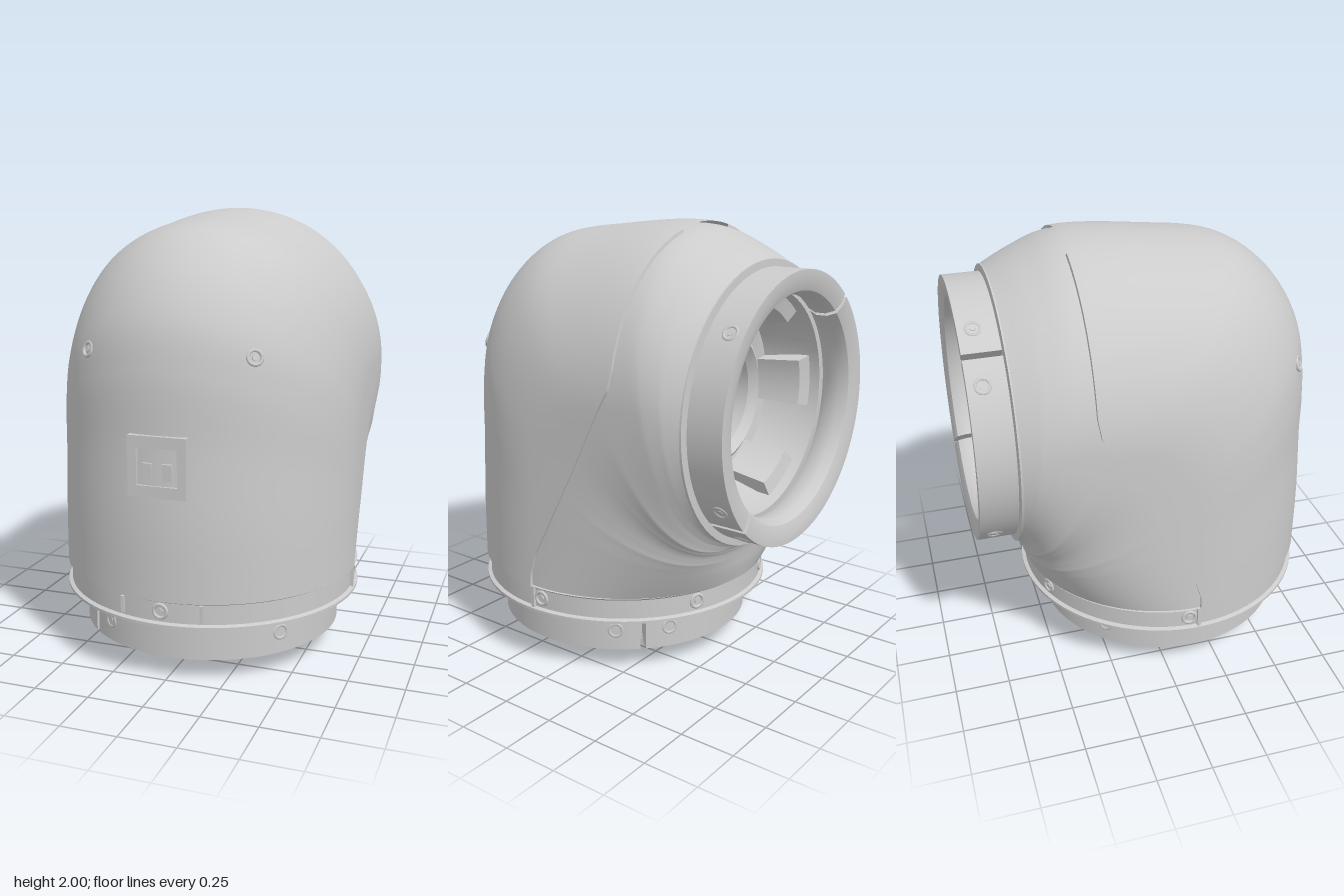
import * as THREE from 'three';
import { mergeVertices, toCreasedNormals } from 'three/addons/utils/BufferGeometryUtils.js';

const mat = new THREE.MeshStandardMaterial({ color: 0xcccccc, side: THREE.DoubleSide });
const rad = THREE.MathUtils.degToRad;
const V2 = (p) => p.map(([a, b]) => new THREE.Vector2(a, b));

function add(parent, name, geo, x = 0, y = 0, z = 0) {
  const m = new THREE.Mesh(geo, mat);
  m.name = name;
  m.position.set(x, y, z);
  parent.add(m);
  return m;
}

const turned = (pts, seg = 72, start = 0, len = Math.PI * 2) =>
  toCreasedNormals(new THREE.LatheGeometry(V2(pts), seg, start, len), 0.6);

// Smooth surface from a point function p(u, v), with u and v in 0..1
function surface(p, nu, nv) {
  const pos = [], idx = [], n = nv + 1;
  for (let i = 0; i <= nu; i++) for (let j = 0; j <= nv; j++) pos.push(...p(i / nu, j / nv));
  for (let i = 0; i < nu; i++) for (let j = 0; j < nv; j++) {
    const a = i * n + j;
    idx.push(a, a + 1, a + n, a + 1, a + n + 1, a + n);
  }
  let g = new THREE.BufferGeometry();
  g.setAttribute('position', new THREE.Float32BufferAttribute(pos, 3));
  g.setIndex(idx);
  g = mergeVertices(g, 1e-5);
  g.computeVertexNormals();
  return g;
}

// Elbow sections fanning from the base to the neck:
// outer z, outer y, inner z, inner y, half width, fullness of the inner half (2 is an ellipse)
const sections = [
  [0.806, 0.39, -0.565, 0.39, 0.678, 2], [0.806, 0.7, -0.585, 0.46, 0.678, 2.35],
  [0.79, 1.05, -0.595, 0.51, 0.678, 2.7], [0.78, 1.35, -0.6, 0.535, 0.678, 2.95],
  [0.735, 1.56, -0.605, 0.555, 0.678, 3], [0.605, 1.762, -0.61, 0.57, 0.678, 3],
  [0.41, 1.9, -0.615, 0.58, 0.678, 3], [0.1, 1.957, -0.62, 0.59, 0.678, 2.9],
  [-0.33, 1.984, -0.63, 0.595, 0.676, 2.3], [-0.5, 1.925, -0.64, 0.6, 0.66, 2.1],
  [-0.65, 1.85, -0.65, 0.6, 0.628, 2],
];
const curve = (f) => new THREE.CatmullRomCurve3(sections.map((s) => new THREE.Vector3(...f(s))), false, 'centripetal');
const outerC = curve((s) => [0, s[1], s[0]]);
const innerC = curve((s) => [0, s[3], s[2]]);

function section(u) {
  const o = outerC.getPoint(u), i = innerC.getPoint(u);
  const k = Math.min(u * 10, 9.9999), n = Math.floor(k);
  const mix = (col) => THREE.MathUtils.lerp(sections[n][col], sections[n + 1][col], k - n);
  return {
    c: o.clone().add(i).multiplyScalar(0.5),
    h: o.clone().sub(i).multiplyScalar(0.5),
    w: mix(4),
    full: mix(5),
  };
}
function onElbow(u, angle, scale = 1) {
  const { c, h, w, full } = section(u);
  const co = Math.cos(angle), si = Math.sin(angle);
  const power = co < 0 ? 2 / full : 1;
  const t = Math.sign(co) * Math.abs(co) ** power * scale;
  return [w * scale * Math.sign(si) * Math.abs(si) ** power, c.y + h.y * t, c.z + h.z * t];
}

// Seam of the front cover as (z, y)
const seam = [[0.13, 0], [0.13, 0.45], [0.1, 0.55], [-0.27, 1.27], [-0.32, 1.36], [-0.335, 1.45], [-0.335, 2.1]];
function seamZ(y) {
  const i = Math.max(1, seam.findIndex((s) => s[1] >= y));
  const [a, b] = [seam[i - 1], seam[i]];
  return THREE.MathUtils.mapLinear(y, a[1], b[1], a[0], b[0]);
}
function seamAngle(u) {
  const { c, h, full } = section(u);
  let lo = -1, hi = 1;
  for (let i = 0; i < 30; i++) {
    const t = (lo + hi) / 2;
    if (c.z + h.z * t > seamZ(c.y + h.y * t)) hi = t; else lo = t;
  }
  return Math.acos(hi < 0 ? -((-hi) ** (full / 2)) : hi);
}

// Round screw with a hexagonal head, facing along its own +z
function screw(parent, pos, dir) {
  const s = new THREE.Group();
  s.name = 'screw';
  add(s, 'screwRim', new THREE.TorusGeometry(0.03, 0.008, 8, 20));
  add(s, 'screwHead', new THREE.CylinderGeometry(0.014, 0.014, 0.012, 6).rotateX(Math.PI / 2));
  s.position.set(...pos);
  s.quaternion.setFromUnitVectors(new THREE.Vector3(0, 0, 1), new THREE.Vector3(...dir).normalize());
  parent.add(s);
}

// Split clamp ring about the y axis, in two halves with screws
function clampRing(name, height) {
  const g = new THREE.Group();
  g.name = name;
  const e = 0.04, ri = 0.49, R = 0.6;
  const profile = [[R, 0], [R, height], [ri + e * 1.6, height], [ri + e * 0.5, height - e * 0.4], [ri, height - e * 1.4],
    [ri, e * 1.4], [ri + e * 0.5, e * 0.4], [ri + e * 1.6, 0], [R, 0]];
  const cap = new THREE.ShapeGeometry(new THREE.Shape(V2(profile)));
  for (const [from, to] of [[-42, 136], [136, 318]]) {
    const a = rad(from) + 0.02, b = rad(to) - 0.02;
    add(g, 'clampHalf', turned(profile, 48, a, b - a));
    for (const phi of [a, b]) add(g, 'clampEnd', cap).rotation.y = phi - Math.PI / 2;
  }
  for (const deg of [120, 144, -58, -34, 41, -139]) {
    const c = Math.cos(rad(deg)), s = Math.sin(rad(deg));
    screw(g, [c * (R - 0.004), height * 0.6, s * (R - 0.004)], [c, 0, s]);
  }
  return g;
}

export function createModel() {
  const root = new THREE.Group();
  root.name = 'elbowJoint';

  // Elbow housing and the raised front cover with its edge
  add(root, 'housing', surface((u, v) => onElbow(u, (v * 2 - 1) * Math.PI), 80, 120));
  const coverU = (u) => 0.8 * (1 - (1 - u) ** 2);
  add(root, 'frontCover', surface((u, v) => onElbow(coverU(u), (v * 2 - 1) * seamAngle(coverU(u)), 1.02), 140, 80));
  for (const s of [-1, 1]) {
    add(root, 'coverEdge', surface((u, v) => onElbow(coverU(u), s * seamAngle(coverU(u)), 1.02 - 0.025 * v), 140, 1));
  }

  // Base band with a lip
  add(root, 'baseBand', turned([[0, 0.255], [0.5, 0.255], [0.5, 0.275], [0.693, 0.275], [0.693, 0.287], [0.675, 0.293],
    [0.675, 0.38], [0.69, 0.392], [0.6, 0.4]], 96), 0, 0, 0.125);
  for (const x of [-0.18, 0.18]) add(root, 'bandRib', new THREE.BoxGeometry(0.014, 0.075, 0.03), x, 0.342, 0.775);
  screw(root, [0, 0.34, 0.8], [0, 0, 1]);
  for (const s of [-1, 1]) {
    add(root, 'bandEnd', new THREE.BoxGeometry(0.025, 0.105, 0.016), s * 0.675, 0.34, 0.125);
    screw(root, [s * 0.674, 0.34, 0.08], [s, 0, -0.05]);
    screw(root, [s * 0.27, 0.34, -0.494], [s * 0.4, 0, -0.917]);
  }

  // Lower clamp, scalloped plate and hub
  const lower = clampRing('lowerClamp', 0.16);
  lower.position.set(0, 0.1, 0.13);
  root.add(lower);
  const outline = [];
  for (let i = 0; i < 144; i++) {
    const a = (i / 144) * Math.PI * 2;
    const r = 0.405 - 0.025 * THREE.MathUtils.smoothstep(Math.cos(a * 10), -0.2, 0.6);
    outline.push(new THREE.Vector2(Math.cos(a) * r, Math.sin(a) * r));
  }
  const plate = new THREE.ExtrudeGeometry(new THREE.Shape(outline), { depth: 0.21, bevelEnabled: false });
  add(root, 'scallopedPlate', toCreasedNormals(plate.rotateX(-Math.PI / 2), 0.5), 0, 0.05, 0.125);
  add(root, 'lowerFloor', new THREE.CylinderGeometry(0.5, 0.5, 0.1, 64), 0, 0.2, 0.13);
  add(root, 'hub', turned([[0, 0.04], [0.04, 0.04], [0.04, 0], [0.195, 0], [0.2, 0.005], [0.2, 0.06]], 48), 0, 0, 0.125);

  // Rear port: hollow neck lining, stepped inner ledges and clamp, with local +y pointing backwards
  const port = new THREE.Group();
  port.name = 'rearPort';
  port.position.set(0, 1.222, -0.65);
  port.rotation.x = -Math.PI / 2;
  root.add(port);
  add(port, 'neckLining', turned([[0.615, -0.02], [0.632, -0.012], [0.632, 0], [0.5, 0.008], [0.49, -0.1], [0.44, -0.25],
    [0.33, -0.28], [0.32, -0.22], [0.29, -0.2], [0.26, -0.24], [0.25, -0.55], [0, -0.55]], 72));
  const ledge = [[0.5, -0.04], [0.43, -0.06], [0.39, -0.27], [0.46, -0.27]];
  const ledgeEnd = new THREE.ShapeGeometry(new THREE.Shape(V2(ledge)));
  for (let i = 0; i < 6; i++) {
    const a = (i / 6) * Math.PI * 2 + 0.3;
    add(port, 'innerLedge', turned(ledge, 10, a, 0.5));
    for (const phi of [a, a + 0.5]) add(port, 'ledgeEnd', ledgeEnd).rotation.y = phi - Math.PI / 2;
  }
  const rear = clampRing('rearClamp', 0.165);
  rear.position.y = 0.005;
  port.add(rear);

  // Front face: two screw sockets and a square connector
  for (const s of [-1, 1]) screw(root, [s * 0.37, 1.42, 0.665], [s * 0.5, 0.3, 0.8]);
  const frame = new THREE.Shape(V2([[-0.13, -0.13], [0.13, -0.13], [0.13, 0.13], [-0.13, 0.13]]));
  frame.holes.push(new THREE.Path(V2([[-0.09, -0.08], [-0.09, 0.08], [0.09, 0.08], [0.09, -0.08]])));
  add(root, 'connectorFrame', new THREE.ExtrudeGeometry(frame, { depth: 0.04, bevelEnabled: false }), 0, 0.97, 0.78);
  for (const x of [-0.045, 0.045]) add(root, 'connectorPin', new THREE.BoxGeometry(0.04, 0.07, 0.03), x, 0.95, 0.803);
  return root;
}
